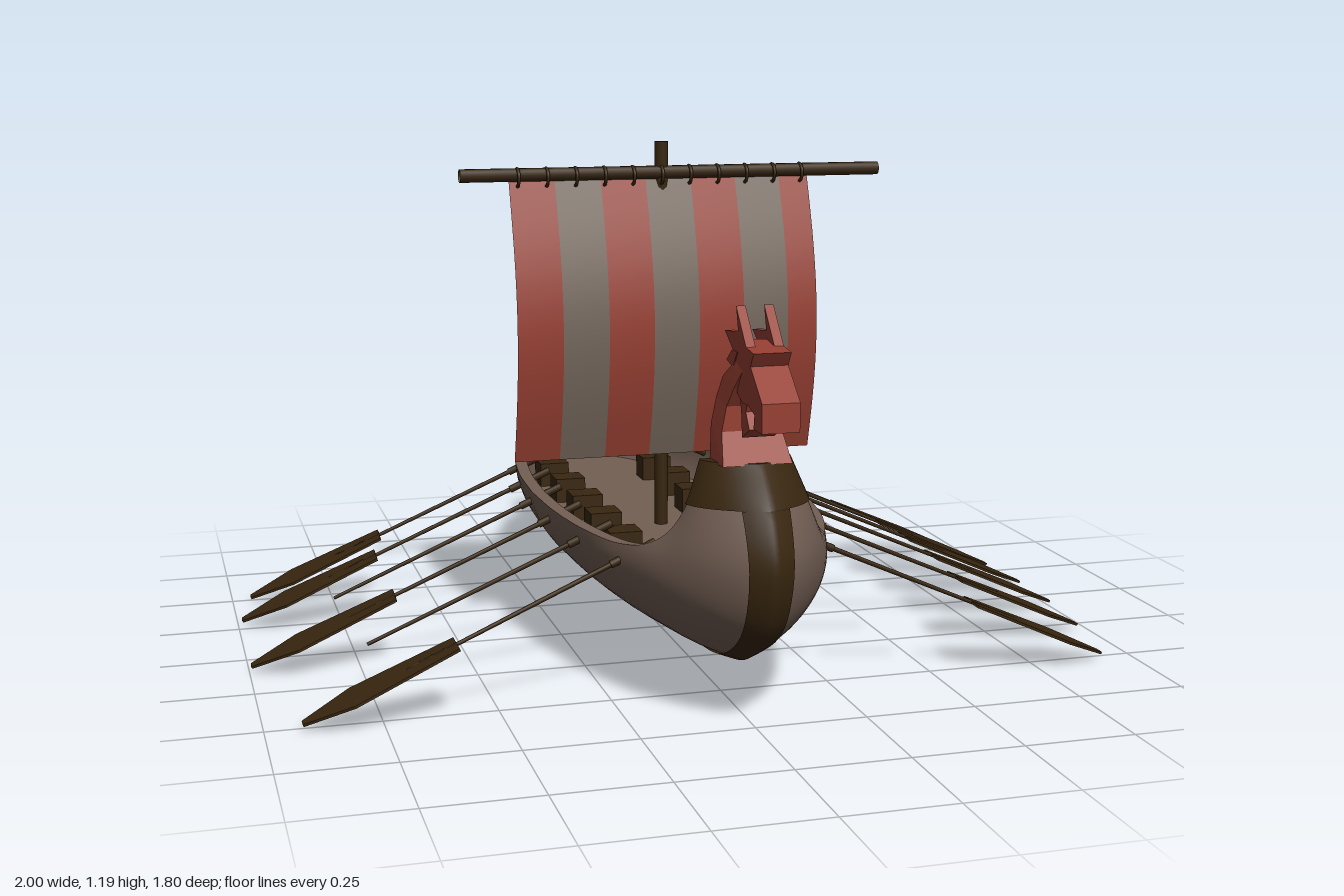
import * as THREE from 'three';
import { mergeGeometries } from 'three/addons/utils/BufferGeometryUtils.js';
import { ConvexGeometry } from 'three/addons/geometries/ConvexGeometry.js';

const V = (x, y, z) => new THREE.Vector3(x, y, z);
const paint = (name, color) =>
  new THREE.MeshStandardMaterial({ name, color, side: THREE.DoubleSide });

// Surface from a rule fn(u, v) with u and v in 0..1
function grid(nu, nv, fn) {
  const pos = [], idx = [];
  for (let i = 0; i <= nu; i++)
    for (let j = 0; j <= nv; j++) pos.push(...fn(i / nu, j / nv).toArray());
  for (let i = 0; i < nu; i++)
    for (let j = 0; j < nv; j++) {
      const a = i * (nv + 1) + j, b = a + nv + 1;
      idx.push(a, a + 1, b, a + 1, b + 1, b);
    }
  const g = new THREE.BufferGeometry();
  g.setAttribute('position', new THREE.Float32BufferAttribute(pos, 3));
  g.setIndex(idx);
  g.computeVertexNormals();
  return g;
}

// Round bar between two points
function rod(a, b, r0, r1 = r0, open = false) {
  const d = b.clone().sub(a);
  const g = new THREE.CylinderGeometry(r1, r0, d.length(), 10, 1, open);
  g.applyQuaternion(new THREE.Quaternion().setFromUnitVectors(V(0, 1, 0), d.normalize()));
  return g.translate(...a.clone().add(b).multiplyScalar(0.5).toArray());
}

// Side outline in (z, y) given a width in x
function sidePlate(pts, width, x = 0) {
  const shape = new THREE.Shape(pts.map(p => new THREE.Vector2(...p)));
  const g = new THREE.ExtrudeGeometry(shape, { depth: width, bevelEnabled: false });
  return g.rotateY(-Math.PI / 2).translate(x + width / 2, 0, 0);
}

// Bent bar: rows of [z1, y1, z2, y2, halfWidth]
function bentBar(rows) {
  const ring = ([z1, y1, z2, y2, w]) =>
    [V(w, y1, z1), V(-w, y1, z1), V(w, y2, z2), V(-w, y2, z2)];
  return mergeGeometries(rows.slice(1).map((r, i) =>
    new ConvexGeometry([...ring(rows[i]), ...ring(r)])));
}

// Flat paddle lying along a -> b, its width along z
function paddle(a, b, w0, w1) {
  const d = b.clone().sub(a), L = d.length();
  d.normalize();
  const n = V(0, 0, 1).addScaledVector(d, -d.z).normalize();
  const shape = new THREE.Shape([[0, -w0], [L * 0.68, -w1], [L, -0.012],
    [L, 0.012], [L * 0.68, w1], [0, w0]].map(p => new THREE.Vector2(...p)));
  const g = new THREE.ExtrudeGeometry(shape, { depth: 0.006, bevelEnabled: false });
  g.translate(0, 0, -0.003);
  g.applyMatrix4(new THREE.Matrix4().makeBasis(d, n, d.clone().cross(n)));
  return g.translate(a.x, a.y, a.z);
}

// Hull guide curves from amidships to the top of the stem
const gunwale = new THREE.CatmullRomCurve3([V(.315, .355, 0), V(.305, .355, .2), V(.275, .355, .4),
  V(.235, .357, .53), V(.2, .375, .615), V(.165, .41, .665), V(.13, .475, .69), V(.095, .565, .675)]);
const keel = new THREE.CatmullRomCurve3([V(0, .07, 0), V(0, .075, .22), V(0, .09, .45),
  V(0, .125, .68), V(0, .22, .83), V(0, .36, .882), V(0, .485, .84), V(0, .57, .77)]);
const MID = -0.015;

// Hull point: t runs stern to bow (-1..1), f runs side to side (-1..1)
function hullPoint(t, f, inset = 0) {
  const s = Math.abs(t), g = gunwale.getPoint(s), k = keel.getPoint(s);
  const end = THREE.MathUtils.smoothstep(k.z, 0.5, 0.85);
  g.x -= inset;
  k.y += inset * (1 - end);
  k.z -= inset * end;
  const a = Math.min(1, Math.abs(f));
  const rise = 0.7 * (1 - Math.sqrt(1 - a * a)) + 0.3 * a;
  return V(g.x * f, THREE.MathUtils.lerp(k.y, g.y, rise),
    THREE.MathUtils.lerp(k.z, g.z, rise) * (t < 0 ? -1 : 1) + MID);
}
const across = v => Math.sin((v - 0.5) * Math.PI);

export function createModel() {
  const ship = new THREE.Group();
  ship.name = 'longship';
  const hullWood = paint('hull wood', 0x735f54);
  const darkWood = paint('dark wood', 0x38260f);
  const red = paint('red', 0x963f32);
  const cloth = paint('grey cloth', 0x73665b);
  const add = (name, geo, mat, parent = ship) => {
    const m = new THREE.Mesh(geo, mat);
    m.name = name;
    parent.add(m);
    return m;
  };

  // Hull skins and rim
  const T = 6 / 7;
  add('hullOuter', grid(72, 32, (u, v) => hullPoint((u * 2 - 1) * T, across(v))), hullWood);
  add('hullInner', grid(72, 32, (u, v) => hullPoint((u * 2 - 1) * T, across(v), .03)), hullWood);
  for (const s of [-1, 1])
    add('rim', grid(72, 1, (u, v) => hullPoint((u * 2 - 1) * T, s, v * .03)), hullWood);

  // Dark keel band wrapping under the hull and up both stems
  add('keelBand', grid(72, 8, (u, v) => {
    const t = (u * 2 - 1) * T;
    const half = 0.035 + 0.017 * Math.abs(t);
    return hullPoint(t, (v * 2 - 1) * half / gunwale.getPoint(Math.abs(t)).x, -.005);
  }), darkWood);

  // Collars at the stem heads
  for (const s of [-1, 1]) {
    const at = (u, f, inset) => hullPoint(s * (T + u * (1 - T)), f, inset);
    add('collarOuter', grid(6, 24, (u, v) => at(u, across(v), -.004)), darkWood);
    add('collarInner', grid(6, 24, (u, v) => at(u, across(v), .025)), darkWood);
    add('collarTop', grid(1, 24, (u, v) => {
      const p = at(1, across(v), -.004);
      return u ? V(p.x, .566, s * .675 + MID) : p;
    }), darkWood);
    for (const f of [-1, 1])
      add('collarEdge', grid(6, 1, (u, v) => at(u, f, -.004 + v * .029)), darkWood);
  }

  // Deck cut to the inside of the hull
  const DECK = 0.26;
  add('deck', grid(60, 1, (u, v) => {
    const t = (u * 2 - 1) * 0.62;
    let lo = 0, hi = 1;
    for (let i = 0; i < 20; i++) {
      const m = (lo + hi) / 2;
      if (hullPoint(t, m, .03).y < DECK) lo = m; else hi = m;
    }
    const p = hullPoint(t, lo, .03);
    return V(p.x * (v * 2 - 1), DECK, p.z);
  }), hullWood);

  // Rowing seats
  for (let i = 0; i < 6; i++)
    for (const x of [-.16, .118])
      add('seat', new THREE.BoxGeometry(.075, .06, .072)
        .translate(x, DECK + .03, -.5 + i * .188), darkWood);

  // Oars; two on one side have lost their blades
  const oars = [[.19, -.43, -.475], [.225, -.235, -.275], [.235, -.056, -.09],
    [.23, .13, .095], [.205, .33, .295], [.155, .515, .515]];
  for (const s of [-1, 1])
    oars.forEach(([x, z0, z1], i) => {
      const oar = new THREE.Group();
      oar.name = 'oar';
      ship.add(oar);
      const a = V(s * x, .355, z0), b = V(s * (x + .765), .015, z1);
      const at = k => a.clone().lerp(b, k);
      add('oarShaft', rod(a, at(.72), .006, .004), darkWood, oar);
      add('oarGrip', rod(a, at(.13), .009), darkWood, oar);
      if (s > 0 || (i !== 2 && i !== 4))
        add('oarBlade', paddle(at(.57), b, .042, .06), darkWood, oar);
    });

  // Steering oar
  add('tiller', rod(V(.05, .43, -.578), V(.335, .335, -.575), .007), darkWood);
  add('steeringBlade', paddle(V(.338, .35, -.575), V(.305, 0, -.575), .03, .056), darkWood);

  // Mast, yard and sail rings
  add('mast', rod(V(.003, DECK, -.005), V(.003, 1.185, -.005), .016), darkWood);
  add('yard', rod(V(-.48, 1.113, 0), V(.545, 1.113, 0), .016, .016, true), darkWood);
  for (let i = 0; i < 11; i++)
    add('sailRing', new THREE.TorusGeometry(.021, .004, 6, 14).rotateY(Math.PI / 2)
      .translate(-.345 + i * .069, 1.107, .003), darkWood);

  // Billowing striped sail
  const seams = [-.365, -.256, -.146, -.037, .073, .183, .293, .365];
  for (let i = 0; i < 7; i++)
    add('sailStripe', grid(1, 16, (u, v) => V(THREE.MathUtils.lerp(seams[i], seams[i + 1], u),
      1.1 - .66 * v, .07 * Math.sin(Math.PI * v) + .03 * v)), i % 2 ? cloth : red);

  // Dragon figurehead
  const dragon = new THREE.Group();
  dragon.name = 'figurehead';
  ship.add(dragon);
  add('neck', bentBar([[.75, .565, .655, .56, .075], [.707, .63, .63, .635, .065],
    [.707, .683, .635, .692, .055], [.735, .726, .659, .74, .048],
    [.765, .765, .716, .779, .04]]), red, dragon);
  add('head', sidePlate([[.893, .72], [.817, .783], [.837, .812], [.793, .817], [.735, .825],
    [.70, .80], [.707, .764], [.73, .716], [.765, .70], [.803, .702], [.845, .69],
    [.84, .66], [.893, .66]], .08), red, dragon);
  add('jaw', sidePlate([[.73, .725], [.785, .705], [.774, .683], [.798, .65], [.75, .625],
    [.745, .67]], .07), red, dragon);
  for (const s of [-1, 1]) {
    add('horn', sidePlate([[.793, .812], [.72, .893], [.735, .842], [.644, .832], [.70, .80]],
      .02, s * .03), red, dragon);
    add('ear', sidePlate([[.735, .80], [.70, .80], [.663, .774], [.707, .764]],
      .02, s * .032), red, dragon);
  }

  // Curled stern post
  add('sternCurl', bentBar([[-.707, .567, -.793, .58, .05], [-.659, .63, -.731, .635, .04],
    [-.635, .692, -.692, .683, .035], [-.649, .745, -.692, .721, .033],
    [-.707, .779, -.716, .736, .032], [-.769, .74, -.736, .716, .032],
    [-.764, .655, -.75, .672, .022]]), cloth);

  return ship;
}
